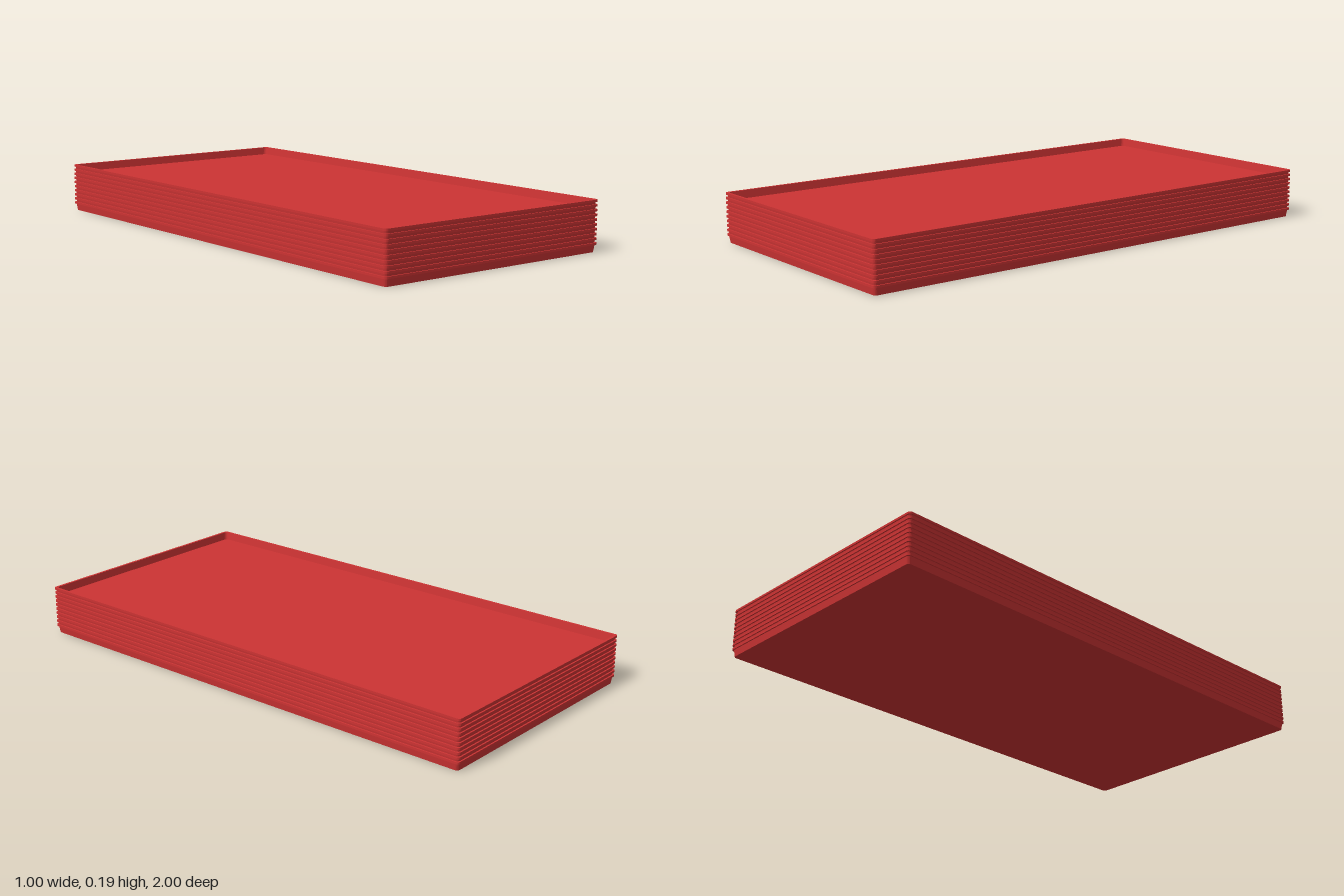
import * as THREE from 'three';

const TRAYS = 10, PITCH = 0.0173, CORNER_STEPS = 4;

// Cross-section of one tray from underside centre to floor centre: [inset from rim edge, height]
const PROFILE = [
  [null, 0], [0.008, 0], [0.0045, 0.027], [0, 0.027],
  [0, 0.035], [0.01, 0.035], [0.0145, 0.005], [null, 0.005],
];

// Rounded rectangle, counter-clockwise from above; a null inset collapses to the centre
function ring(inset, y) {
  const pts = [], r = 0.012;
  for (let q = 0; q < 4; q++) {
    const sx = q === 0 || q === 3 ? 1 : -1, sz = q < 2 ? -1 : 1;
    for (let k = 0; k <= CORNER_STEPS; k++) {
      const a = (q + k / CORNER_STEPS) * Math.PI / 2;
      pts.push(inset === null ? [0, y, 0] : [
        sx * (0.5 - inset - r) + r * Math.cos(a), y,
        sz * (1 - inset - r) - r * Math.sin(a),
      ]);
    }
  }
  return pts;
}

// Loft the rings into a closed tray
function trayGeometry() {
  const rings = PROFILE.map(([inset, y]) => ring(inset, y));
  const pos = [], n = rings[0].length;
  for (let j = 0; j < rings.length - 1; j++) {
    for (let i = 0; i < n; i++) {
      const k = (i + 1) % n;
      const a = rings[j][i], b = rings[j][k], c = rings[j + 1][k], d = rings[j + 1][i];
      if (PROFILE[j][0] !== null) pos.push(...a, ...b, ...d);
      if (PROFILE[j + 1][0] !== null) pos.push(...b, ...c, ...d);
    }
  }
  const geo = new THREE.BufferGeometry();
  geo.setAttribute('position', new THREE.Float32BufferAttribute(pos, 3));
  geo.computeVertexNormals();
  return geo;
}

export function createModel() {
  const group = new THREE.Group();
  group.name = 'trayStack';
  const geo = trayGeometry();
  const material = new THREE.MeshStandardMaterial({ color: 0xcc3333 });
  // Nested trays, each resting inside the one below
  for (let i = 0; i < TRAYS; i++) {
    const tray = new THREE.Mesh(geo, material);
    tray.name = `tray${i + 1}`;
    tray.position.y = i * PITCH;
    group.add(tray);
  }
  return group;
}
